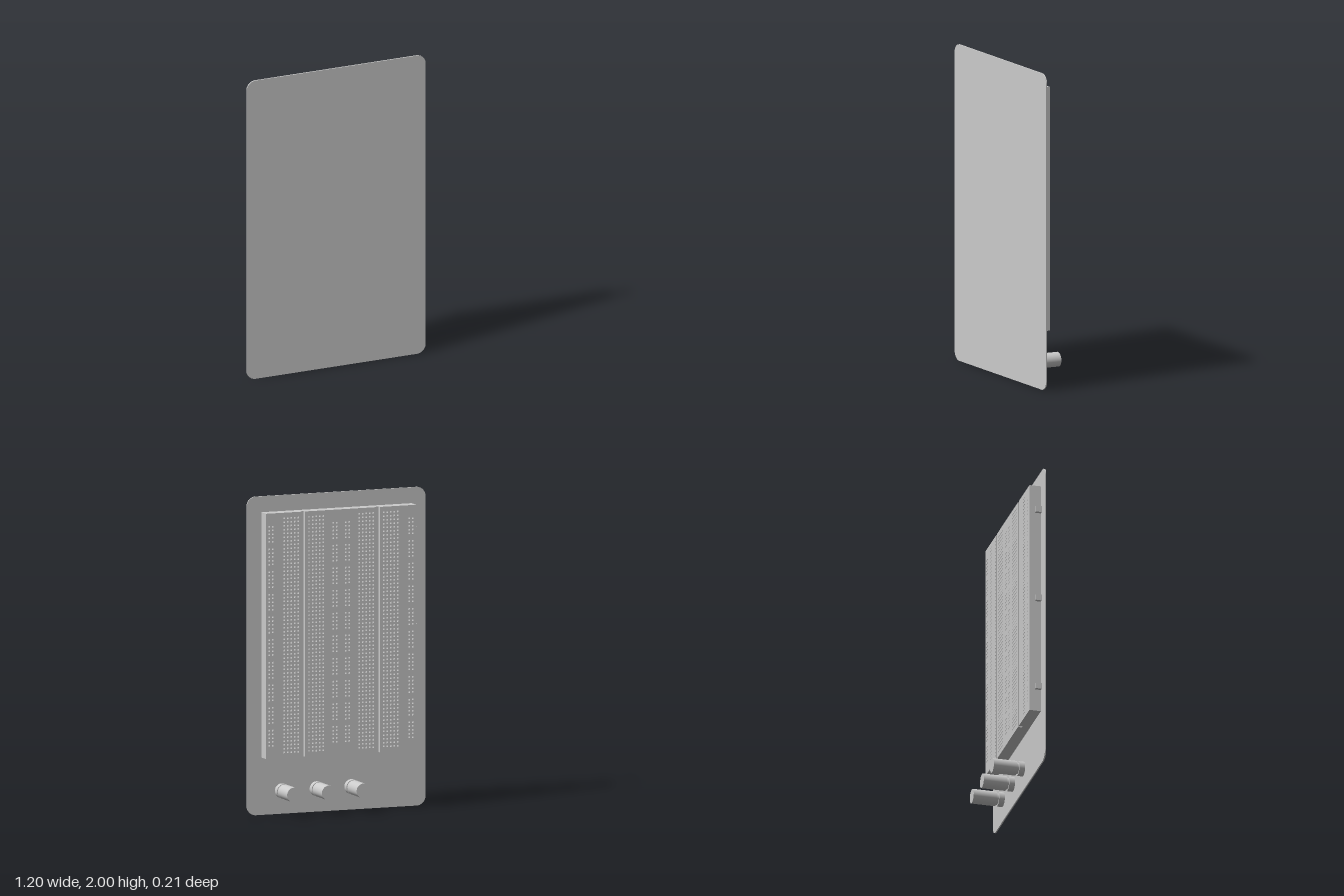
import * as THREE from 'three';

const material = new THREE.MeshStandardMaterial({ color: 0xcccccc });
const PITCH = 0.0237; // hole spacing
const BOARD = { bottom: 0.36, top: 1.9, half: 0.504, back: 0.022, grooveFloor: 0.046, front: 0.097 };
const MID_Y = (BOARD.bottom + BOARD.top) / 2;

function add(parent, name, geometry, x = 0, y = 0, z = 0) {
  const mesh = new THREE.Mesh(geometry, material);
  mesh.name = name;
  mesh.position.set(x, y, z);
  parent.add(mesh);
  return mesh;
}

function rectangle(PathType, x0, y0, x1, y1) {
  return new PathType([
    new THREE.Vector2(x0, y0), new THREE.Vector2(x1, y0),
    new THREE.Vector2(x1, y1), new THREE.Vector2(x0, y1),
  ]);
}

// Rounded mounting plate
function plateGeometry() {
  const w = 0.6, h = 2, r = 0.06;
  const s = new THREE.Shape();
  s.absarc(w - r, r, r, -Math.PI / 2, 0);
  s.absarc(w - r, h - r, r, 0, Math.PI / 2);
  s.absarc(-w + r, h - r, r, Math.PI / 2, Math.PI);
  s.absarc(-w + r, r, r, Math.PI, Math.PI * 1.5);
  return new THREE.ExtrudeGeometry(s, { depth: 0.008, bevelEnabled: false, curveSegments: 10 });
}

// Punch columns of square sockets into a strip
function punch(shape, centreX, columns, rows, skipEvery = 0) {
  const r = 0.0048;
  for (let c = 0; c < columns; c++) {
    const x = centreX + (c - (columns - 1) / 2) * PITCH;
    for (let i = 0; i < rows; i++) {
      if (skipEvery && i % skipEvery === skipEvery - 1) continue;
      const y = MID_Y + (i - (rows - 1) / 2) * PITCH;
      shape.holes.push(rectangle(THREE.Path, x - r, y - r, x + r, y + r));
    }
  }
}

// One strip of the perforated layer; the gaps between strips form the grooves
function stripGeometry(x0, x1, terminalBlocks, powerRails) {
  const shape = rectangle(THREE.Shape, x0, BOARD.bottom, x1, BOARD.top);
  terminalBlocks.forEach((x) => punch(shape, x, 5, 63));
  powerRails.forEach((x) => punch(shape, x, 2, 59, 6));
  return new THREE.ExtrudeGeometry(shape, { depth: BOARD.grooveFloor - BOARD.back, bevelEnabled: false });
}

// Binding post: collar, neck and knob, pointing to the back
function bindingPost(x) {
  const post = new THREE.Group();
  post.name = 'bindingPost';
  const part = (name, radius, z0, z1) => {
    const g = new THREE.CylinderGeometry(radius, radius, z1 - z0, 40).rotateX(Math.PI / 2);
    add(post, name, g, 0, 0, (z0 + z1) / 2);
  };
  part('postCollar', 0.046, 0.06, 0.098);
  part('postNeck', 0.036, 0.045, 0.062);
  part('postKnob', 0.046, -0.105, 0.048);
  post.position.set(x, 0.145, 0);
  return post;
}

export function createModel() {
  const model = new THREE.Group();
  model.name = 'breadboard';
  add(model, 'mountingPlate', plateGeometry(), 0, 0, 0.096);

  const board = new THREE.Group();
  board.name = 'socketBoard';
  board.position.x = -0.002;
  model.add(board);

  const { half, bottom, top, back, grooveFloor, front } = BOARD;
  add(board, 'boardBody', new THREE.BoxGeometry(half * 2, top - bottom, front - grooveFloor),
    0, MID_Y, (grooveFloor + front) / 2);
  const inner = 0.242, outer = 0.26;
  add(board, 'centreStrip', stripGeometry(-inner, inner, [-0.168, 0.168], [-0.042, 0.042]), 0, 0, back);
  add(board, 'leftStrip', stripGeometry(outer, half, [0.334], [0.47]), 0, 0, back);
  add(board, 'rightStrip', stripGeometry(-half, -outer, [-0.334], [-0.47]), 0, 0, back);

  // Side tabs for joining boards
  for (const y of [0.525, 1.13, 1.735]) {
    add(board, 'joiningTab', new THREE.BoxGeometry(0.024, 0.04, 0.04), -half - 0.008, y, 0.077);
  }

  for (const x of [-0.1, 0.133, 0.367]) model.add(bindingPost(x));
  return model;
}
